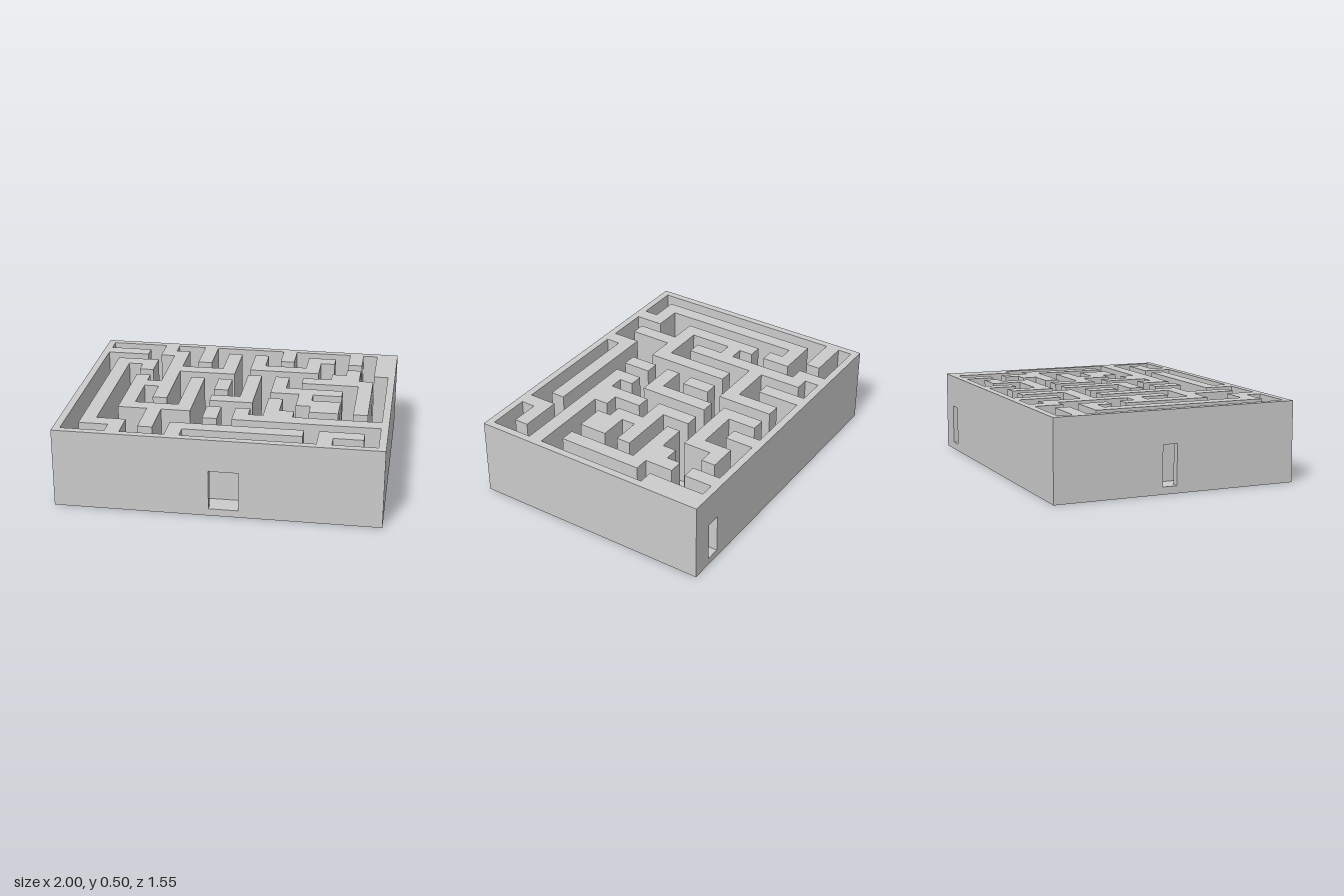
import * as THREE from 'three';

const P = 1 / 11;          // width of one path or wall
const RIM = P / 2;         // thickness of rim and floor
const COLS = 21, ROWS = 16;
const H = 0.5, HALF_X = 1, HALF_Z = ROWS * P / 2 + RIM;
const DOOR_TOP = 0.295;

const colX = c => -HALF_X + RIM + c * P;
const rowZ = r => -HALF_Z + RIM + r * P;

// Outlines on the grid as column, row, column, row...: each number is one right-angle turn
const attachedWalls = [
  [4, 0, 5, 1, 6, 4, 9, 1, 10, 5, 6, 10, 5, 8, 4, 11, 7, 6, 8, 12, 6, 15, 5, 12, 3, 6, 4, 7, 5, 2],
  [0, 1, 3, 2],
  [7, 0, 8, 3],
  [13, 0, 14, 2],
  [18, 0, 19, 2],
  [20, 0, 21, 4],
  [7, 14, 16, 15, 8, 16],
  [17, 14, 20, 15, 18, 16],
  [1, 3, 4, 5, 3, 4, 2, 14, 4, 16, 3, 15],
  [21, 12, 15, 11, 14, 9, 13, 12, 12, 11, 11, 13],
];
const islandWalls = [
  [9, 6, 10, 8],
  [9, 11, 10, 13],
  [11, 5, 12, 10, 9, 9],
  [11, 1, 12, 3, 15, 1, 17, 2, 16, 4],
  [13, 5, 14, 7, 18, 8, 16, 9, 18, 11, 16, 10, 15, 8],
  [18, 3, 19, 5, 20, 11, 19, 6, 15, 5, 17, 4],
];

// Raises a right-angled outline from the floor to the top
function wallGeometry(turns) {
  const points = [];
  for (let i = 0; i < turns.length; i += 2) {
    const nextCol = turns[(i + 2) % turns.length];
    points.push(new THREE.Vector2(colX(turns[i]), -rowZ(turns[i + 1])));
    points.push(new THREE.Vector2(colX(nextCol), -rowZ(turns[i + 1])));
  }
  const geometry = new THREE.ExtrudeGeometry(new THREE.Shape(points), { depth: H - RIM, bevelEnabled: false });
  return geometry.rotateX(-Math.PI / 2).translate(0, RIM, 0);
}

const rectangle = (a, b, bottom, top) => [[a, bottom], [b, bottom], [b, top], [a, top]]
  .map(([x, y]) => new THREE.Vector2(x, y));

// Upright rim panel with an optional doorway from door[0] to door[1]
function panelGeometry(halfLength, door) {
  const shape = new THREE.Shape(rectangle(-halfLength, halfLength, 0, H));
  if (door) shape.holes.push(new THREE.Path(rectangle(door[0], door[1], RIM, DOOR_TOP)));
  return new THREE.ExtrudeGeometry(shape, { depth: RIM, bevelEnabled: false });
}

export function createModel() {
  const model = new THREE.Group();
  model.name = 'mazeBox';
  const material = new THREE.MeshStandardMaterial({ color: 0xcccccc, flatShading: true });
  const add = (name, geometry) => {
    const mesh = new THREE.Mesh(geometry, material);
    mesh.name = name;
    model.add(mesh);
  };

  // Floor
  add('floor', new THREE.BoxGeometry(COLS * P, RIM, ROWS * P).translate(0, RIM / 2, 0));

  // Outer rim with three doorways
  const innerZ = HALF_Z - RIM;
  add('frontWall', panelGeometry(HALF_X, [colX(10), colX(12)]).translate(0, 0, innerZ));
  add('backWall', panelGeometry(HALF_X, [colX(19), colX(20)]).translate(0, 0, -HALF_Z));
  add('leftWall', panelGeometry(innerZ).rotateY(-Math.PI / 2).translate(HALF_X, 0, 0));
  add('rightWall', panelGeometry(innerZ, [rowZ(7), rowZ(8)]).rotateY(-Math.PI / 2).translate(-HALF_X + RIM, 0, 0));

  // Maze walls
  attachedWalls.forEach((turns, i) => add(`mazeWall${i + 1}`, wallGeometry(turns)));
  islandWalls.forEach((turns, i) => add(`mazeIsland${i + 1}`, wallGeometry(turns)));
  return model;
}
